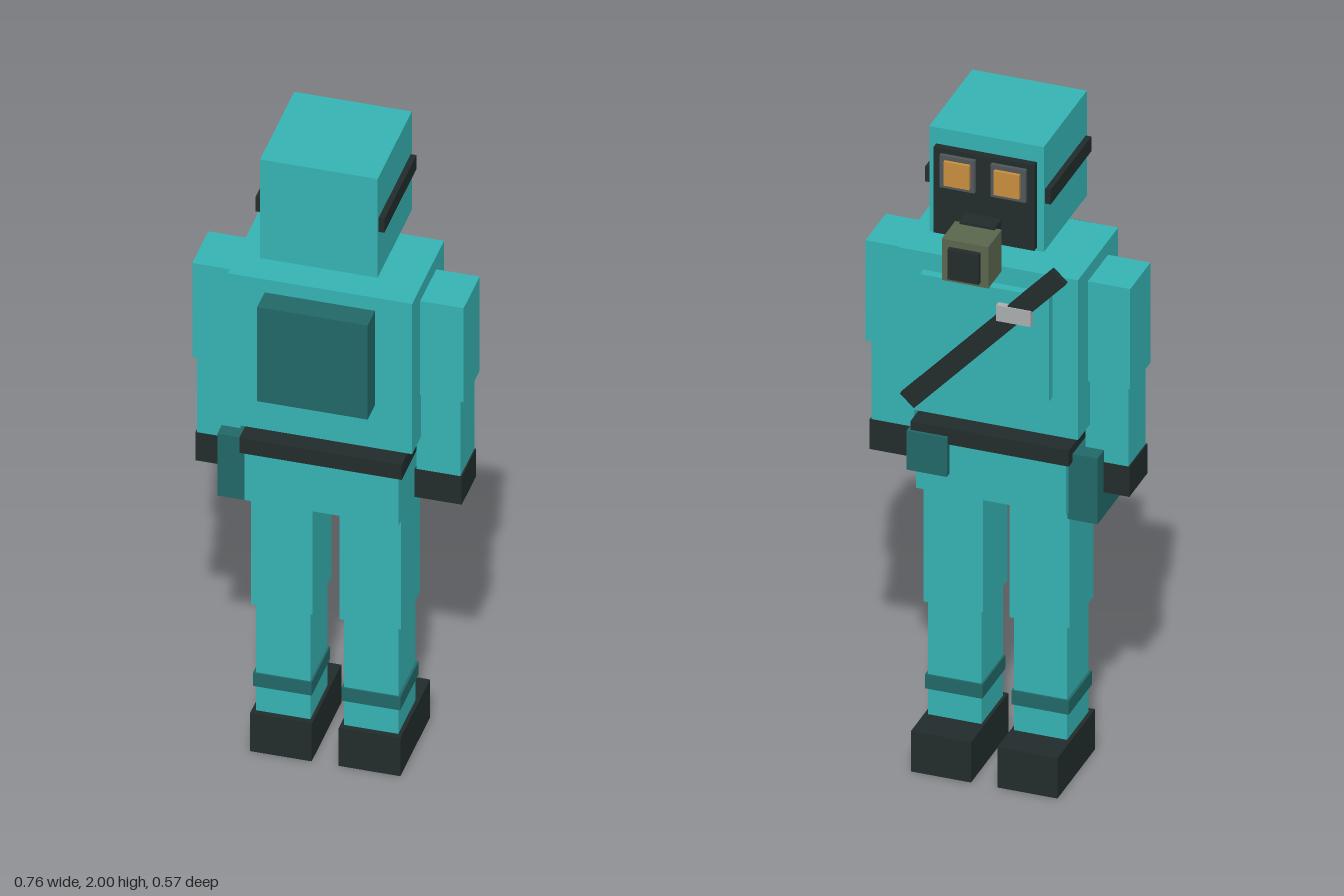
import * as THREE from 'three';

const material = (name, color) => {
  const m = new THREE.MeshStandardMaterial({ color });
  m.name = name;
  return m;
};

export function createModel() {
  const teal = material('teal suit', 0x36b3b3);
  const darkTeal = material('dark teal gear', 0x226868);
  const black = material('black rubber', 0x222c2c);
  const olive = material('olive filter', 0x5a664d);
  const amber = material('amber lens', 0xc88e3e);
  const grey = material('grey lens frame', 0x50575a);
  const silver = material('silver buckle', 0xabafb0);

  const model = new THREE.Group();
  model.name = 'maskedFigure';

  // Box given by its min and max along each axis
  const box = (name, mat, [x0, x1], [y0, y1], [z0, z1]) => {
    const mesh = new THREE.Mesh(new THREE.BoxGeometry(x1 - x0, y1 - y0, z1 - z0), mat);
    mesh.position.set((x0 + x1) / 2, (y0 + y1) / 2, (z0 + z1) / 2);
    mesh.name = name;
    model.add(mesh);
    return mesh;
  };
  // Mirrored pair of boxes; x range is given for the +x side
  const pair = (name, mat, [x0, x1], y, z) => {
    box(name + 'Left', mat, [x0, x1], y, z);
    box(name + 'Right', mat, [-x1, -x0], y, z);
  };

  // Head and gas mask, facing -z
  box('head', teal, [-0.165, 0.165], [1.675, 2], [-0.107, 0.223]);
  pair('headStrap', black, [0.16, 0.181], [1.82, 1.866], [-0.097, 0.214]);
  box('maskPlate', black, [-0.145, 0.145], [1.685, 1.95], [-0.127, -0.1]);
  pair('lensFrame', grey, [0.023, 0.124], [1.835, 1.935], [-0.138, -0.12]);
  pair('lens', amber, [0.035, 0.109], [1.848, 1.922], [-0.148, -0.13]);
  box('maskSnout', black, [-0.051, 0.051], [1.685, 1.765], [-0.18, -0.12]);
  box('filter', olive, [-0.067, 0.067], [1.63, 1.758], [-0.272, -0.169]);
  box('filterCap', black, [-0.045, 0.045], [1.645, 1.737], [-0.288, -0.265]);

  // Torso with backpack and chest panel
  box('torso', teal, [-0.259, 0.259], [1.105, 1.6], [-0.096, 0.213]);
  box('backpack', darkTeal, [-0.155, 0.155], [1.247, 1.557], [0.2, 0.285]);
  box('chestPanel', teal, [-0.186, 0.186], [1.225, 1.545], [-0.122, -0.09]);

  // Diagonal chest strap and its buckle
  const strap = box('chestStrap', black, [-0.32, 0.32], [1.36, 1.415], [-0.137, -0.119]);
  strap.rotation.z = -THREE.MathUtils.degToRad(47);
  box('buckle', silver, [-0.14, -0.04], [1.455, 1.503], [-0.141, -0.11]);

  // Arms
  pair('upperArm', teal, [0.254, 0.381], [1.247, 1.557], [-0.02, 0.135]);
  pair('forearm', teal, [0.247, 0.37], [0.995, 1.25], [-0.005, 0.128]);
  pair('glove', black, [0.242, 0.374], [0.905, 0.997], [-0.008, 0.13]);

  // Hips, belt and pouches
  box('hips', teal, [-0.216, 0.216], [0.85, 1.03], [-0.072, 0.197]);
  box('belt', black, [-0.228, 0.228], [1.01, 1.06], [-0.084, 0.207]);
  box('holster', darkTeal, [-0.3, -0.214], [0.83, 1.034], [-0.055, 0.17]);
  box('beltPouch', darkTeal, [0.12, 0.236], [0.913, 1.034], [-0.092, -0.03]);

  // Legs
  pair('thigh', teal, [0.038, 0.21], [0.478, 0.86], [-0.032, 0.154]);
  pair('shin', teal, [0.047, 0.2], [0.12, 0.48], [-0.022, 0.144]);
  pair('shinBand', darkTeal, [0.042, 0.207], [0.207, 0.25], [-0.028, 0.149]);
  pair('boot', black, [0.038, 0.211], [0, 0.125], [-0.125, 0.162]);

  return model;
}
